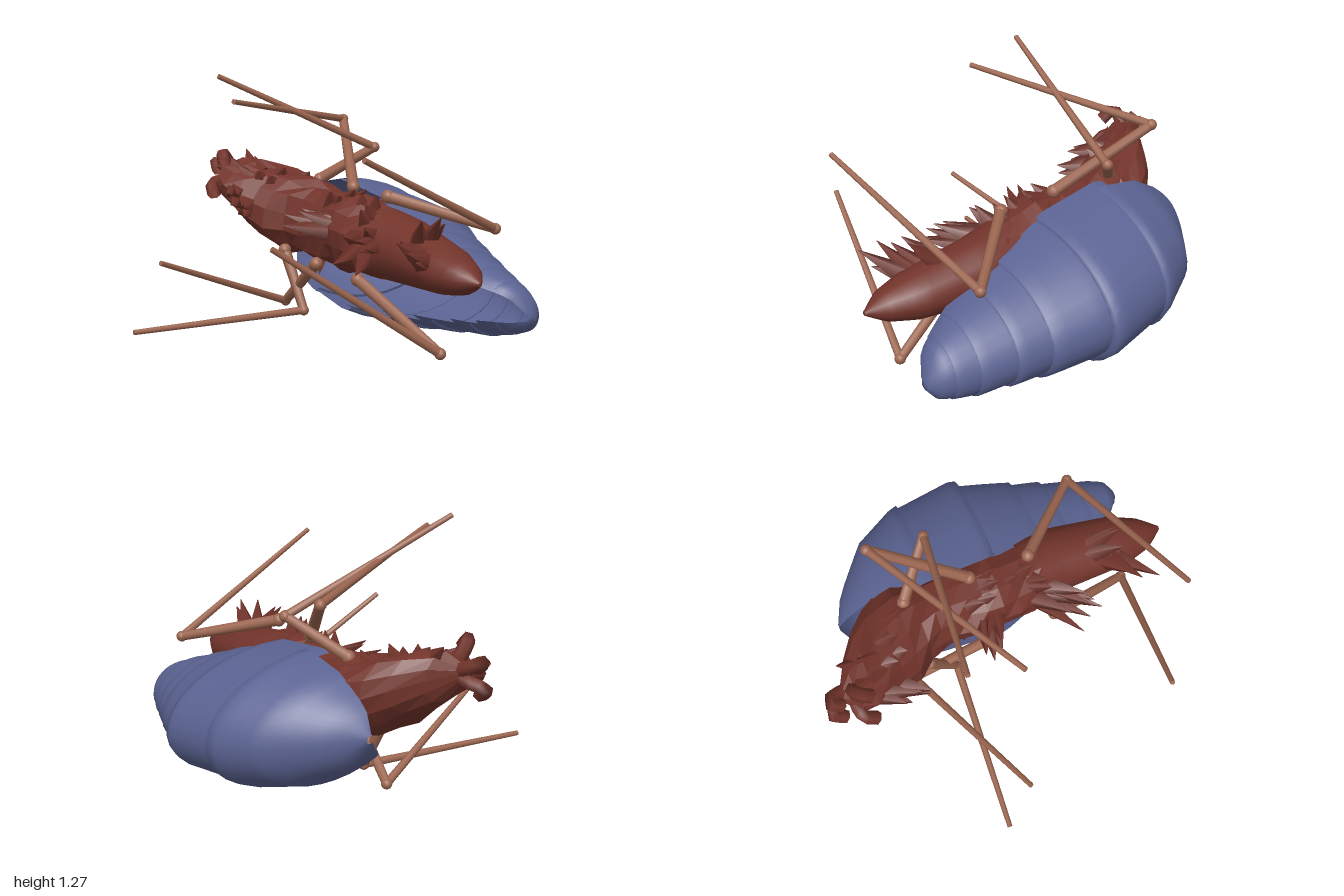
import * as THREE from 'three';

const mat = (name, color, side = THREE.FrontSide) => {
  const m = new THREE.MeshStandardMaterial({ color, side });
  m.name = name;
  return m;
};

// Sections along z: [z, centre x, centre y, radius x, radius y]
const BODY = [
  [-0.9, -0.14, 0.7, 0.01, 0.01], [-0.86, -0.12, 0.69, 0.1, 0.1], [-0.74, -0.02, 0.62, 0.2, 0.15],
  [-0.62, 0.06, 0.55, 0.25, 0.19], [-0.5, 0.12, 0.5, 0.24, 0.21], [-0.3, 0.18, 0.47, 0.17, 0.19],
  [0.05, 0.19, 0.46, 0.2, 0.19], [0.4, 0.235, 0.43, 0.17, 0.16], [0.75, 0.22, 0.4, 0.14, 0.11],
  [0.9, 0.21, 0.39, 0.085, 0.07], [0.99, 0.21, 0.385, 0.01, 0.01],
];
const SHELL = [
  [-0.78, 0.3, 0.43, 0.02, 0.02], [-0.72, 0.3, 0.42, 0.17, 0.14], [-0.53, 0.32, 0.4, 0.4, 0.27],
  [-0.3, 0.35, 0.38, 0.5, 0.33], [0.05, 0.38, 0.325, 0.53, 0.32], [0.36, 0.43, 0.265, 0.38, 0.255],
  [0.7, 0.52, 0.21, 0.19, 0.17], [0.86, 0.56, 0.195, 0.1, 0.11], [0.905, 0.57, 0.17, 0.03, 0.03],
];

// Section at any z, blended between its neighbours
function sectionAt(table, z) {
  const last = table.length - 1;
  const zc = THREE.MathUtils.clamp(z, table[0][0], table[last][0]);
  const i = Math.max(1, table.findIndex((s) => s[0] >= zc));
  const a = table[i - 1], b = table[i];
  const t = (zc - a[0]) / (b[0] - a[0]);
  return a.map((v, k) => v + (b[k] - v) * t);
}

// Loft of elliptical sections in ascending z; arc limits in degrees
function loft(sections, sides, { from = 0, to = 360, shear = 0, jitter = () => 1, flat = false } = {}) {
  const closed = to - from === 360;
  const cols = closed ? sides : sides + 1;
  const pos = [], idx = [];
  for (const [z, cx, cy, rx, ry] of sections) {
    for (let j = 0; j < cols; j++) {
      const t = THREE.MathUtils.degToRad(from + (to - from) * j / sides);
      const k = jitter();
      const dy = ry * Math.sin(t) * k;
      pos.push(cx + rx * Math.cos(t) * k - shear * dy, cy + dy, z);
    }
  }
  for (let i = 0; i < sections.length - 1; i++) {
    for (let j = 0; j < sides; j++) {
      const a = i * cols + j, b = i * cols + (j + 1) % cols;
      idx.push(a, b, a + cols, b, b + cols, a + cols);
    }
  }
  let g = new THREE.BufferGeometry();
  g.setAttribute('position', new THREE.Float32BufferAttribute(pos, 3));
  g.setIndex(idx);
  if (flat) g = g.toNonIndexed();
  g.computeVertexNormals();
  return g;
}

export function createModel() {
  const root = new THREE.Group();
  root.name = 'shelledCreature';
  const flesh = mat('reddish brown flesh', 0x72342b, THREE.DoubleSide);
  const shellBlue = mat('slate blue shell', 0x5b6392, THREE.DoubleSide);
  const copper = mat('copper leg', 0x9c6650);
  let seed = 7;
  const rand = () => (seed = (seed * 16807) % 2147483647) / 2147483647;
  const vary = (amount) => (rand() * 2 - 1) * amount;
  const V = (p) => new THREE.Vector3(...p);
  const group = (name) => {
    const g = new THREE.Group();
    g.name = name;
    root.add(g);
    return g;
  };
  const add = (parent, name, geo, material) => {
    const m = new THREE.Mesh(geo, material);
    m.name = name;
    parent.add(m);
    return m;
  };
  // Tapered rod from a to b
  const rod = (parent, name, a, b, r0, r1, sides, material) => {
    const d = b.clone().sub(a);
    const m = add(parent, name, new THREE.CylinderGeometry(r1, r0, d.length(), sides), material);
    m.position.copy(a).addScaledVector(d, 0.5);
    m.quaternion.setFromUnitVectors(new THREE.Vector3(0, 1, 0), d.normalize());
  };
  // Evenly spaced sections of a table
  const slice = (table, z0, z1, steps) =>
    Array.from({ length: steps + 1 }, (_, i) => sectionAt(table, z0 + (z1 - z0) * i / steps));

  // Smooth front body and ragged rear body
  const body = group('body');
  add(body, 'frontBody', loft(slice(BODY, 0.2, 0.99, 16), 18), flesh);
  add(body, 'rearBody', loft(slice(BODY, -0.9, 0.28, 14), 13,
    { jitter: () => 1 + vary(0.1), flat: true }), flesh);

  // Hooked jaws at the rear end, given by the bend of each hook
  for (const tip of [[-0.19, 0.82, -0.81], [-0.25, 0.65, -0.82], [-0.16, 0.76, -0.955], [-0.18, 0.63, -0.96]]) {
    const start = V([-0.1, 0.68, -0.78]), bend = V(tip);
    const middle = start.clone().lerp(bend, 0.55).add(V([0.01, 0, -0.03]));
    const end = bend.clone().add(V([-0.02, -0.05, 0.06]));
    const path = new THREE.CatmullRomCurve3([start, middle, bend, end]);
    add(body, 'jaw', new THREE.TubeGeometry(path, 8, 0.035, 6), flesh);
  }

  // Ragged spikes growing out of the body: z, angle, length outward, lean along z, count
  [
    [0.65, 140, 0.15, 0.12, 4], [0.62, 115, 0.09, 0.18, 3], [0.25, 170, 0.16, 0.2, 7],
    [0.15, 110, 0.07, 0.07, 4], [-0.08, 160, 0.15, -0.08, 5], [-0.1, 100, 0.05, 0.08, 4],
    [-0.6, 100, 0.02, 0.08, 4], [-0.65, 165, 0.04, 0.14, 6], [-0.7, 110, 0.05, -0.08, 4],
    [-0.3, 230, 0.06, 0.05, 3],
  ].forEach(([z, angle, out, lean, count]) => {
    for (let i = 0; i < count; i++) {
      const [sz, cx, cy, rx, ry] = sectionAt(BODY, z + vary(0.07));
      const t = THREE.MathUtils.degToRad(angle + vary(25));
      const reach = out * (1 + vary(0.35));
      const point = (r, dz) => V([cx + (rx + r) * Math.cos(t), cy + (ry + r) * Math.sin(t), sz + dz]);
      rod(body, 'spike', point(-0.05, 0), point(reach, lean + vary(0.04)), 0.06, 0.002, 4, flesh);
    }
  });

  // Overlapping shell plates, open towards the body, each flaring to a turned-in rim
  const shell = group('shell');
  const scaled = ([z, cx, cy, rx, ry], k) => [z, cx, cy, rx * k, ry * k];
  const seams = [-0.78, -0.27, 0.08, 0.36, 0.52, 0.69, 0.8, 0.905];
  for (let i = 0; i < seams.length - 1; i++) {
    const z0 = seams[i] - (i ? 0.08 : 0), z1 = seams[i + 1];
    const steps = i < 2 ? 10 : 5;
    const narrow = i < 2 ? 0.97 : 0.93;
    const plate = slice(SHELL, z0, z1, steps).map((s, j) => scaled(s, narrow + (1.01 - narrow) * j / steps));
    plate.push(scaled([z1 + 0.004, ...plate[steps].slice(1)], i === seams.length - 2 ? 0.05 : 0.93));
    add(shell, 'shellPlate' + (i + 1),
      loft(plate, 20, { from: -130 - i * 4, to: 82 + i * 9, shear: 0.25 }), shellBlue);
  }

  // Six jointed legs: hip, knee, tip
  [
    ['upperRearLeg', [0.21, 0.69, -0.09], [0.41, 1, -0.53], [-0.47, 1.15, -0.075]],
    ['upperMiddleLeg', [0.21, 0.69, -0.44], [0.43, 0.87, -0.24], [-0.43, 1.26, -0.335]],
    ['upperFrontLeg', [0.215, 0.68, 0.23], [0.585, 0.545, 0.61], [-0.3, 0.95, 0.84]],
    ['lowerFrontLeg', [0, 0.3, 0.3], [0.15, 0.028, 0.78], [-0.645, 0.57, 0.65]],
    ['lowerRearLeg', [-0.01, 0.31, -0.09], [0.03, 0.028, -0.5], [-0.82, 0.38, -0.175]],
    ['lowerMiddleLeg', [-0.02, 0.33, -0.41], [0.01, 0.028, -0.26], [-0.91, 0.014, -0.325]],
  ].forEach(([name, ...joints]) => {
    const leg = group(name);
    const [hip, knee, tip] = joints.map(V);
    rod(leg, 'thigh', hip, knee, 0.03, 0.024, 8, copper);
    rod(leg, 'shin', knee, tip, 0.021, 0.013, 8, copper);
    [[hip, 0.034], [knee, 0.028]].forEach(([p, r]) =>
      add(leg, 'joint', new THREE.SphereGeometry(r, 12, 8), copper).position.copy(p));
  });
  return root;
}
